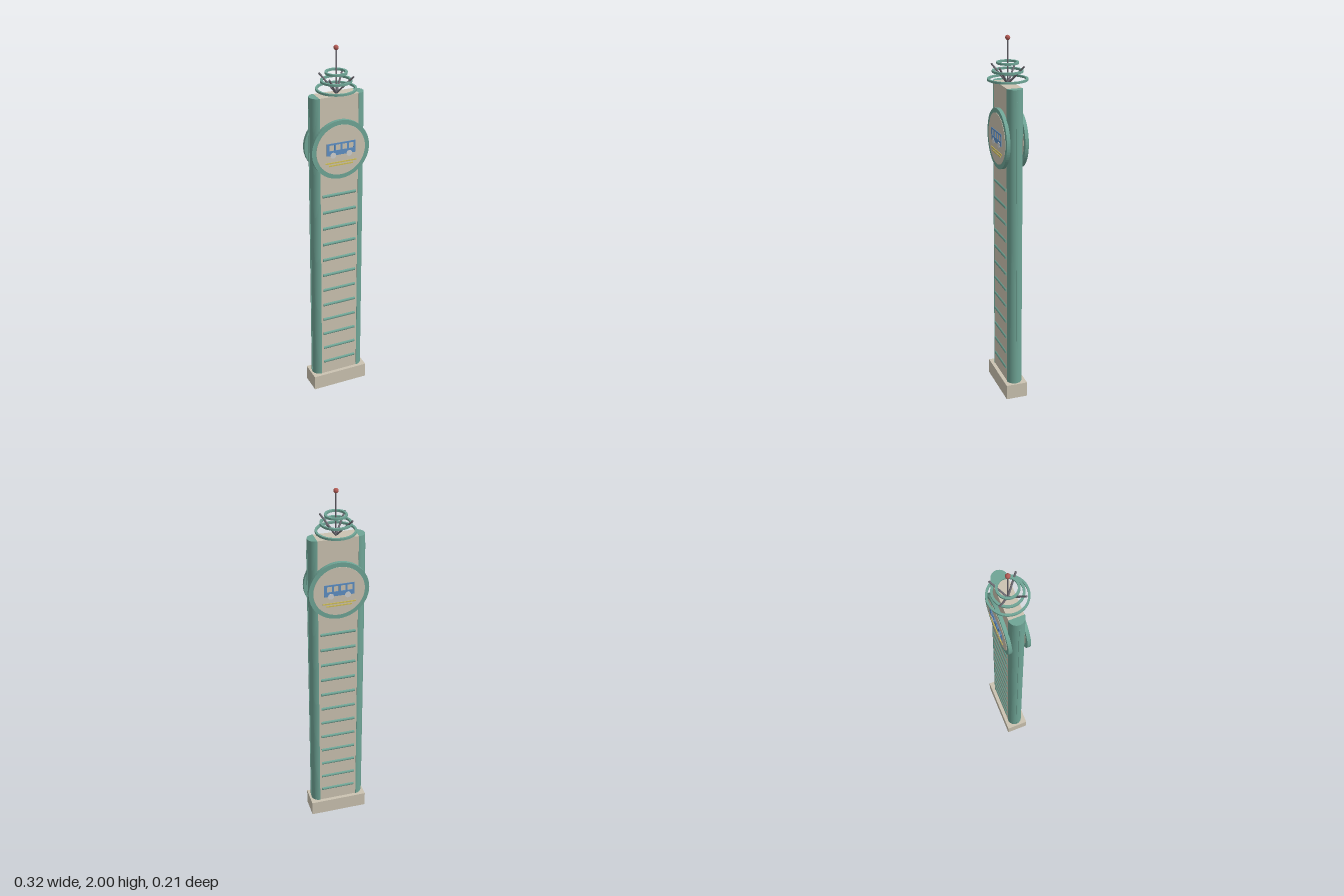
import * as THREE from 'three';

const material = (name, color) => {
  const m = new THREE.MeshStandardMaterial({ color });
  m.name = name;
  return m;
};

export function createModel() {
  const teal = material('teal', 0x6fa596);
  const beige = material('beige', 0xcbc3b1);
  const blue = material('blue', 0x5f8fc4);
  const yellow = material('yellow', 0xd0bf5a);
  const grey = material('grey metal', 0x6c6a72);
  const red = material('red', 0xb25a54);
  const pale = material('pale grey', 0xcfd0d0);

  const tower = new THREE.Group();
  tower.name = 'signTower';

  const add = (parent, name, geometry, mat, x = 0, y = 0, z = 0) => {
    const mesh = new THREE.Mesh(geometry, mat);
    mesh.name = name;
    mesh.position.set(x, y, z);
    parent.add(mesh);
    return mesh;
  };
  const box = (w, h, d) => new THREE.BoxGeometry(w, h, d);

  // Flat ring extruded along z
  const ring = (outer, inner, depth) => {
    const shape = new THREE.Shape().absarc(0, 0, outer, 0, Math.PI * 2, false);
    shape.holes.push(new THREE.Path().absarc(0, 0, inner, 0, Math.PI * 2, true));
    return new THREE.ExtrudeGeometry(shape, { depth, bevelEnabled: false, curveSegments: 32 });
  };

  // Plinth and shaft
  add(tower, 'base', box(0.32, 0.085, 0.12), beige, 0, 0.0425);
  add(tower, 'shaft', box(0.216, 1.67, 0.08), beige, 0, 0.915);

  // Rounded side columns with a narrow fin
  for (const side of [-1, 1]) {
    const half = new THREE.Shape();
    half.moveTo(0, -0.042);
    half.absarc(0, 0, 0.042, -Math.PI / 2, Math.PI / 2, false);
    half.closePath();
    const geometry = new THREE.ExtrudeGeometry(half, { depth: 1.665, bevelEnabled: false, curveSegments: 24 });
    geometry.rotateX(-Math.PI / 2);
    const column = add(tower, 'sideColumn', geometry, teal, side * 0.107, 0.085);
    if (side < 0) column.rotation.y = Math.PI;
    add(tower, 'sideFin', box(0.008, 1.59, 0.006), teal, side * 0.149, 0.895);
  }

  // Matching front and back faces: slats and round sign
  for (const angle of [0, Math.PI]) {
    const face = new THREE.Group();
    face.name = angle ? 'backFace' : 'frontFace';
    face.rotation.y = angle;
    tower.add(face);

    for (let i = 0; i < 12; i++) {
      const slat = new THREE.CylinderGeometry(0.009, 0.009, 0.19, 12).rotateZ(Math.PI / 2);
      add(face, 'slat', slat, teal, 0, 0.164 + i * 0.095, 0.038);
    }

    const sign = new THREE.Group();
    sign.name = 'roundSign';
    sign.position.y = 1.467;
    face.add(sign);
    add(sign, 'signRim', ring(0.16, 0.135, 0.019), teal, 0, 0, 0.04);
    const disc = new THREE.CylinderGeometry(0.136, 0.136, 0.022, 64).rotateX(Math.PI / 2);
    add(sign, 'signDisc', disc, beige, 0, 0, 0.05);

    // Bus pictogram with open windows
    const bus = new THREE.Shape();
    bus.moveTo(-0.08, -0.023);
    bus.lineTo(0.08, -0.023);
    bus.lineTo(0.08, 0.043);
    bus.lineTo(-0.08, 0.043);
    bus.closePath();
    for (let i = 0; i < 4; i++) {
      const x = -0.065 + i * 0.036;
      const hole = new THREE.Path();
      hole.moveTo(x, 0.003);
      hole.lineTo(x, 0.034);
      hole.lineTo(x + 0.026, 0.034);
      hole.lineTo(x + 0.026, 0.003);
      hole.closePath();
      bus.holes.push(hole);
    }
    add(sign, 'busBody', new THREE.ExtrudeGeometry(bus, { depth: 0.004, bevelEnabled: false }), blue, 0, 0, 0.06);
    for (const x of [-0.045, 0.045]) {
      const wheel = new THREE.CylinderGeometry(0.016, 0.016, 0.006, 24).rotateX(Math.PI / 2);
      add(sign, 'busWheel', wheel, pale, x, -0.023, 0.063);
    }
    add(sign, 'upperStripe', box(0.176, 0.007, 0.004), yellow, 0, -0.065, 0.062);
    add(sign, 'lowerStripe', box(0.135, 0.007, 0.004), yellow, 0, -0.08, 0.062);
  }

  // Crown of flat rings
  for (const [outer, inner, y] of [[0.105, 0.094, 1.77], [0.081, 0.069, 1.812], [0.058, 0.046, 1.855]]) {
    add(tower, 'crownRing', ring(outer, inner, 0.011).rotateX(-Math.PI / 2), teal, 0, y);
  }

  // Diagonal struts fanning out from the mast foot
  const foot = new THREE.Vector3(0, 1.752, 0);
  for (const sx of [-1, 1]) {
    for (const sz of [-1, 1]) {
      const tip = new THREE.Vector3(sx * 0.066, 1.848, sz * 0.066);
      const strut = add(tower, 'crownStrut', new THREE.CylinderGeometry(0.005, 0.005, foot.distanceTo(tip), 10), grey);
      strut.position.copy(foot).lerp(tip, 0.5);
      strut.quaternion.setFromUnitVectors(new THREE.Vector3(0, 1, 0), tip.clone().sub(foot).normalize());
    }
  }

  // Mast and beacon
  add(tower, 'mast', new THREE.CylinderGeometry(0.004, 0.004, 0.235, 12), grey, 0, 1.8675);
  add(tower, 'beacon', new THREE.SphereGeometry(0.013, 20, 14), red, 0, 1.987);

  return tower;
}
